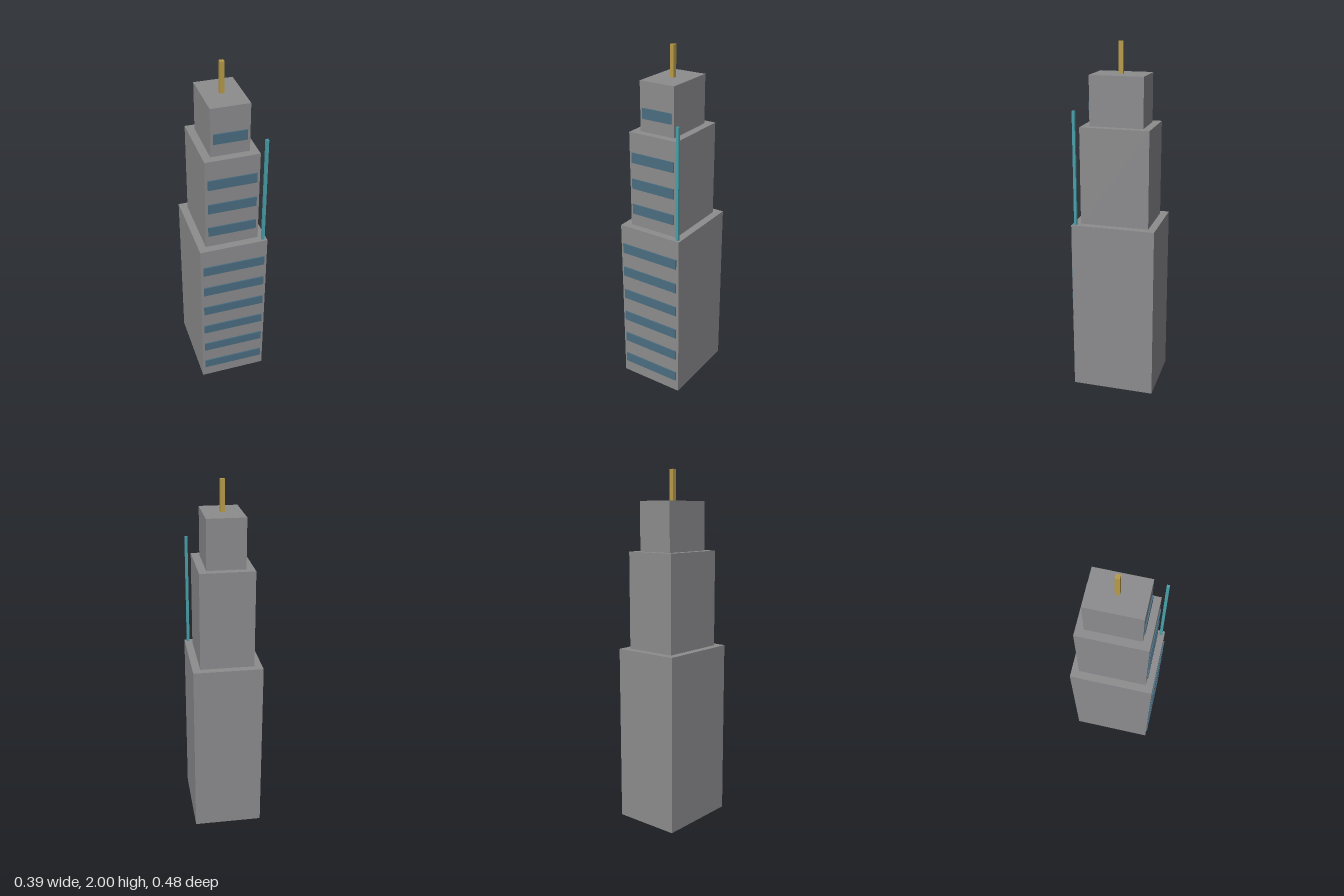
import * as THREE from 'three';

export function createModel() {
  const model = new THREE.Group();
  model.name = 'skyscraper';

  const mat = (name, color) => {
    const m = new THREE.MeshStandardMaterial({ color });
    m.name = name;
    return m;
  };
  const concrete = mat('concrete grey', 0x8c8c8e);
  const glass = mat('window blue', 0x4a6d80);
  const gold = mat('antenna gold', 0xb89a48);
  const teal = mat('mast teal', 0x48a0aa);

  // Box standing on y, centred on x and z
  const box = (name, material, w, h, d, x, y, z) => {
    const mesh = new THREE.Mesh(new THREE.BoxGeometry(w, h, d), material);
    mesh.name = name;
    mesh.position.set(x, y + h / 2, z);
    model.add(mesh);
  };

  const cz = -0.004; // tower axis, set back by the window relief
  const bandHeight = 0.058;
  const relief = 0.007;

  // Stepped tiers, each with window bands on the front
  const tiers = [
    { name: 'lowerTier', w: 0.389, d: 0.475, y0: 0, y1: 1.005, band: 0.358, bands: [0.103, 0.255, 0.407, 0.56, 0.712, 0.864] },
    { name: 'middleTier', w: 0.302, d: 0.389, y0: 1.005, y1: 1.553, band: 0.271, bands: [1.107, 1.259, 1.411] },
    { name: 'upperTier', w: 0.214, d: 0.302, y0: 1.553, y1: 1.828, band: 0.184, bands: [1.655] },
  ];
  for (const t of tiers) {
    box(t.name, concrete, t.w, t.y1 - t.y0, t.d, 0, t.y0, cz);
    for (const y of t.bands) {
      box(`${t.name}WindowBand`, glass, t.band, bandHeight, relief, 0, y - bandHeight / 2, cz + t.d / 2 + relief / 2);
    }
  }

  // Roof antenna and the thin mast on the lower terrace
  box('roofAntenna', gold, 0.024, 0.172, 0.024, 0, 1.828, cz);
  box('terraceMast', teal, 0.016, 0.64, 0.016, 0.174, 1.005, 0.213);

  return model;
}
